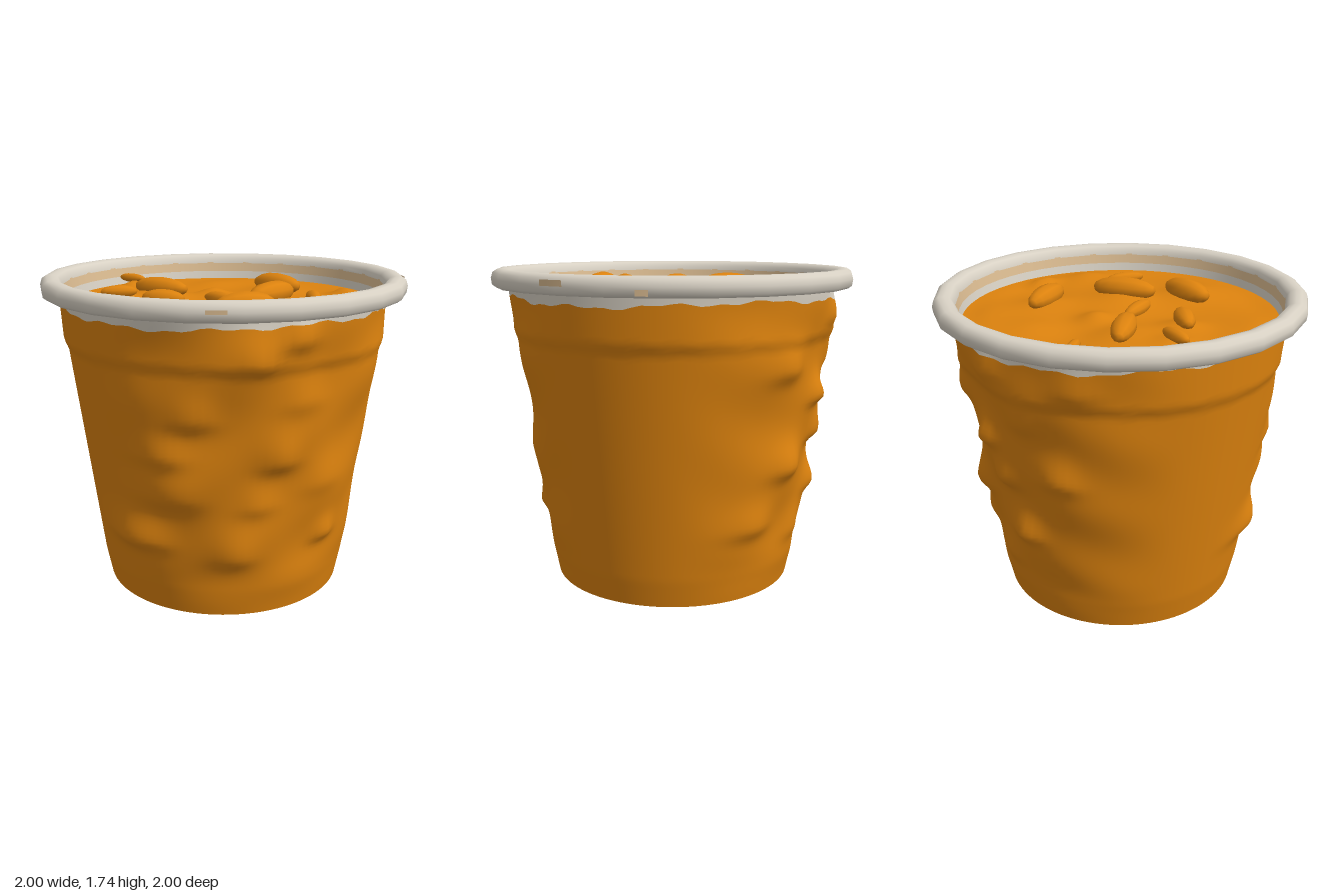
import * as THREE from 'three';
import { mergeVertices } from 'three/addons/utils/BufferGeometryUtils.js';

const material = (name, color, side = THREE.FrontSide) => {
  const m = new THREE.MeshStandardMaterial({ color, side });
  m.name = name;
  return m;
};

// Grid surface from a rule f(u, v) -> [x, y, z], welded so the shading is smooth across the seam
function surface(f, nu, nv) {
  const pos = [], index = [];
  for (let j = 0; j <= nv; j++)
    for (let i = 0; i <= nu; i++) pos.push(...f((i % nu) / nu, j / nv));
  for (let j = 0; j < nv; j++)
    for (let i = 0; i < nu; i++) {
      const a = j * (nu + 1) + i, b = a + 1, c = a + nu + 1, d = c + 1;
      index.push(a, b, d, a, d, c);
    }
  let g = new THREE.BufferGeometry();
  g.setAttribute('position', new THREE.Float32BufferAttribute(pos, 3));
  g.setIndex(index);
  g = mergeVertices(g, 1e-5);
  g.computeVertexNormals();
  return g;
}

// Cup wall outline: [height, radius]
const outline = [[0, 0.675], [0.15, 0.705], [1.36, 0.862], [1.41, 0.885], [1.66, 0.9]];
function wallRadius(y) {
  for (let i = 1; i < outline.length; i++) {
    const [y0, r0] = outline[i - 1], [y1, r1] = outline[i];
    if (y <= y1) return r0 + (r1 - r0) * (y - y0) / (y1 - y0);
  }
  return 0.9;
}

// Lumps in the coating: [x, height, bulge, size]
const frontLumps = [
  [-0.62, 0.42, 0.06, 0.1], [0.32, 0.41, 0.04, 0.07], [-0.5, 0.7, 0.04, 0.12], [-0.55, 0.93, 0.04, 0.1],
  [0, 0.9, 0.04, 0.1], [-0.43, 1.13, 0.04, 0.1], [0.05, 1.53, 0.04, 0.09], [-0.1, 0.66, 0.03, 0.1],
  [0.1, 1.22, 0.03, 0.12], [-0.15, 1.43, 0.03, 0.1], [0.25, 0.75, 0.02, 0.12], [-0.2, 0.36, 0.03, 0.1],
];
const backLumps = [
  [-0.5, 1.48, 0.03, 0.1], [0, 1.5, 0.03, 0.09], [-0.2, 1.24, 0.02, 0.08], [0.1, 1.08, 0.05, 0.07],
  [-0.35, 0.95, 0.04, 0.1], [0, 0.86, 0.05, 0.08], [0.3, 0.72, 0.05, 0.1], [-0.1, 0.55, 0.05, 0.09],
  [0.45, 0.42, 0.04, 0.1], [0.1, 0.32, 0.03, 0.1], [0.4, 1.25, 0.04, 0.1],
];
function lumpHeight(x, y, z) {
  const mask = THREE.MathUtils.smoothstep(Math.abs(z), 0.25, 0.65) * THREE.MathUtils.smoothstep(y, 0.02, 0.3);
  let h = 0.008 * mask * (Math.sin(9 * x + 7 * y) + Math.sin(13 * y - 6 * x + 1));
  for (const [lx, ly, bulge, size] of z > 0 ? frontLumps : backLumps) {
    const dy = y - ly;
    // each lump is sharp below and fades upwards
    const d = ((x - lx) / size) ** 2 + (dy / (dy < 0 ? size * 0.6 : size * 1.3)) ** 2;
    h += bulge * Math.exp(-d) * Math.min(1, Math.abs(z) * 3);
  }
  return h;
}
function wallPoint(u, y) {
  const a = u * Math.PI * 2, r = wallRadius(y);
  const s = Math.sin(a), c = Math.cos(a);
  const R = r + lumpHeight(r * s, y, r * c);
  return [R * s, y, R * c];
}
// Ragged upper edge of the coating
const coatTop = (u) => {
  const a = u * Math.PI * 2;
  return 1.595 + 0.012 * Math.sin(3 * a + 1) + 0.008 * Math.sin(11 * a) + 0.006 * Math.sin(29 * a + 2);
};

// Uneven top of the filling: [x, z, rise, size]
const swells = [
  [0, -0.18, 0.04, 0.09], [-0.35, -0.58, 0.05, 0.09], [0.75, 0.03, 0.05, 0.07], [0.38, 0.36, 0.04, 0.12],
  [-0.38, 0.1, 0.04, 0.12], [-0.02, 0.5, 0.03, 0.15], [0.4, -0.2, 0.03, 0.14], [-0.28, -0.22, 0.03, 0.16],
  [0.18, 0.2, 0.03, 0.15], [0.1, -0.5, 0.025, 0.15], [0.62, 0.3, 0.03, 0.12], [-0.56, -0.13, 0.03, 0.1],
];
function fillHeight(x, z) {
  const edge = 1 - THREE.MathUtils.smoothstep(Math.hypot(x, z), 0.7, 0.87);
  let h = 0.008 * (Math.sin(8 * x + 3 * z) + Math.sin(9 * z - 4 * x + 2));
  for (const [sx, sz, rise, size] of swells) h += rise * Math.exp(-((x - sx) ** 2 + (z - sz) ** 2) / size ** 2);
  return 1.59 + h * edge;
}

// Chunks on the filling: [x0, z0, x1, z1, width]
const chunks = [
  [-0.4, -0.37, -0.18, -0.1, 0.13], [0.34, -0.35, 0.48, -0.04, 0.14], [-0.09, -0.04, 0, 0.21, 0.09],
  [-0.48, 0.04, -0.28, 0.17, 0.11], [0.04, 0.3, 0.36, 0.11, 0.15], [-0.22, 0.45, 0.11, 0.46, 0.15],
  [0.41, 0.25, 0.34, 0.48, 0.08], [-0.66, -0.15, -0.46, -0.12, 0.08], [-0.41, -0.7, -0.3, -0.54, 0.06],
];

export function createModel() {
  const group = new THREE.Group();
  const orange = material('orange', 0xdc820e);
  const cream = material('cream', 0xd8d1c4);
  const tan = material('tan', 0xd8b98f, THREE.DoubleSide);
  const add = (name, geometry, mat, parent = group) => {
    const mesh = new THREE.Mesh(geometry, mat);
    mesh.name = name;
    parent.add(mesh);
    return mesh;
  };

  // Coated wall, bare band above it and the base
  add('cupWall', surface((u, v) => wallPoint(u, v * coatTop(u)), 120, 70), orange);
  add('bareBand', surface((u, v) => wallPoint(u, coatTop(u) + v * (1.66 - coatTop(u))), 120, 3), cream);
  const base = add('base', new THREE.CircleGeometry(0.676, 60), orange);
  base.rotation.x = Math.PI / 2;
  base.position.y = 0.001;

  // Rolled rim with the inside wall
  const profile = (pts) => pts.map(([r, y]) => new THREE.Vector2(r, y));
  add('rim', new THREE.LatheGeometry(profile([
    [0.885, 1.64], [0.975, 1.64], [0.995, 1.655], [1, 1.69], [0.99, 1.722], [0.965, 1.738],
    [0.935, 1.74], [0.905, 1.732], [0.888, 1.71], [0.882, 1.685],
  ]), 24), cream);
  add('innerWallUpper', new THREE.LatheGeometry(profile([[0.882, 1.69], [0.868, 1.635]]), 48), tan);
  add('innerWallLower', new THREE.LatheGeometry(profile([[0.868, 1.635], [0.852, 1.56]]), 48), cream);

  // Small smears on the rim: [angle, sweep, low, high]
  for (const [angle, sweep, low, high] of [[1.21, 0.14, 1.685, 1.715], [1.72, 0.06, 1.65, 1.68], [-0.44, 0.1, 1.685, 1.705]])
    add('rimSmear', new THREE.LatheGeometry(profile([[1.0, low], [1.0, high]]), 3, angle, sweep), tan);

  // Filling
  add('filling', surface((u, v) => {
    const a = u * Math.PI * 2, r = 0.858 * (1 - v) + 1e-4;
    const x = r * Math.sin(a), z = r * Math.cos(a);
    return [x, fillHeight(x, z), z];
  }, 72, 32), orange);

  // Chunks half sunk in the filling
  const chunkShape = new THREE.SphereGeometry(0.5, 10, 8).rotateZ(Math.PI / 2);
  const chunkGroup = new THREE.Group();
  chunkGroup.name = 'chunks';
  group.add(chunkGroup);
  for (const [x0, z0, x1, z1, width] of chunks) {
    const x = (x0 + x1) / 2, z = (z0 + z1) / 2;
    const chunk = add('chunk', chunkShape, orange, chunkGroup);
    chunk.scale.set(Math.hypot(x1 - x0, z1 - z0), width * 0.9, width);
    chunk.rotation.y = -Math.atan2(z1 - z0, x1 - x0);
    chunk.position.set(x, fillHeight(x, z) + 0.015, z);
  }
  return group;
}
